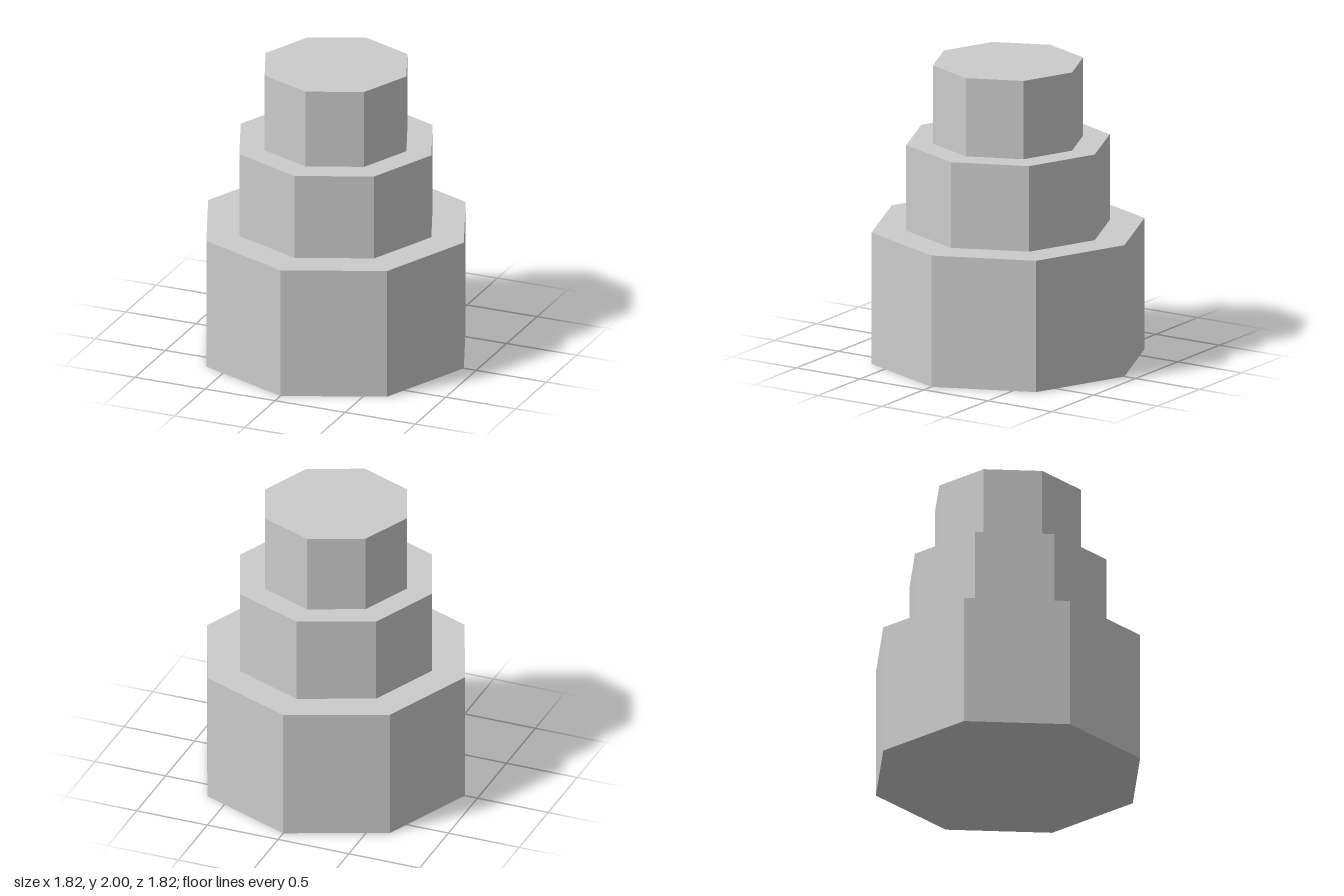
import * as THREE from 'three';

const SIDES = 8;

// Stacked octagonal tiers, from the ground up
const TIERS = [
  { name: 'bottomTier', radius: 0.912, bottom: 0, top: 0.89 },
  { name: 'middleTier', radius: 0.68, bottom: 0.89, top: 1.47 },
  { name: 'topTier', radius: 0.502, bottom: 1.47, top: 2 },
];

export function createModel() {
  const model = new THREE.Group();
  model.name = 'tieredTower';
  const material = new THREE.MeshStandardMaterial({ color: 0xcccccc, flatShading: true });

  for (const { name, radius, bottom, top } of TIERS) {
    const height = top - bottom;
    // Corners lie on the x and z axes
    const tier = new THREE.Mesh(new THREE.CylinderGeometry(radius, radius, height, SIDES), material);
    tier.name = name;
    tier.position.y = bottom + height / 2;
    model.add(tier);
  }
  return model;
}
